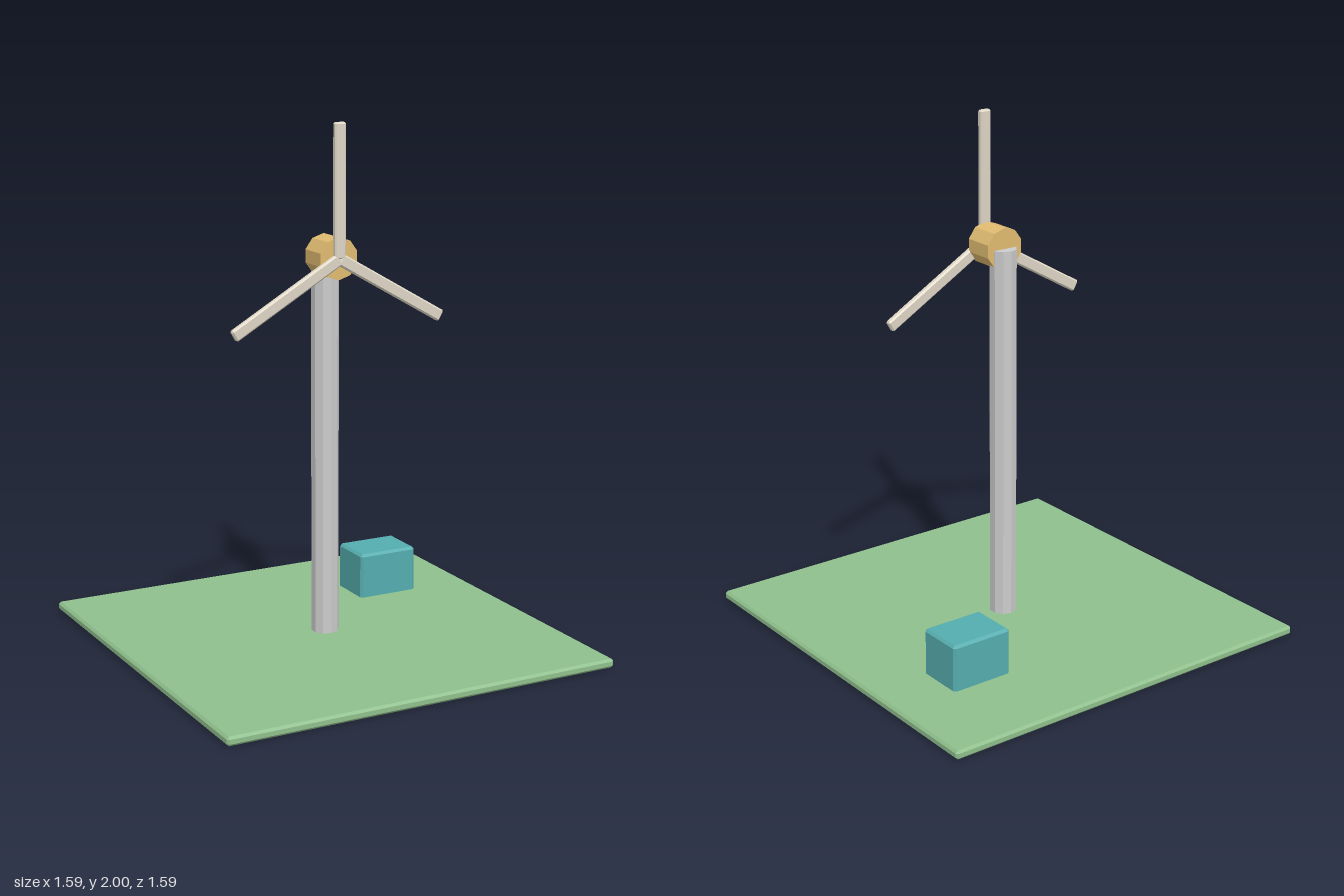
import * as THREE from 'three';
import { ConvexGeometry } from 'three/addons/geometries/ConvexGeometry.js';

const material = (color) => new THREE.MeshStandardMaterial({ color, flatShading: true });

// Box with one flat chamfer along every edge
function chamferBox(w, h, d, c) {
  const points = [];
  for (const x of [-1, 1]) for (const y of [-1, 1]) for (const z of [-1, 1]) {
    const [a, b, e] = [w / 2, h / 2, d / 2];
    points.push(
      new THREE.Vector3(x * a, y * (b - c), z * (e - c)),
      new THREE.Vector3(x * (a - c), y * b, z * (e - c)),
      new THREE.Vector3(x * (a - c), y * (b - c), z * e));
  }
  return new ConvexGeometry(points);
}

export function createModel() {
  const model = new THREE.Group();
  model.name = 'windTurbine';

  const add = (name, geometry, color, x, y, z, parent = model) => {
    const mesh = new THREE.Mesh(geometry, material(color));
    mesh.name = name;
    mesh.position.set(x, y, z);
    parent.add(mesh);
    return mesh;
  };

  // Ground slab
  add('ground', chamferBox(1.59, 0.035, 1.59, 0.009), 0x8fbf8c, 0, 0.0175, 0);

  // Utility hut, sunk slightly into the slab
  add('hut', chamferBox(0.25, 0.195, 0.19, 0.01), 0x55adaf, 0.428, 0.118, -0.35);

  // Ten-sided tower
  add('tower', new THREE.CylinderGeometry(0.053, 0.053, 1.48, 10), 0xcccccc, 0, 0.76, 0);

  // Ten-sided generator housing, lying along z
  const housing = new THREE.CylinderGeometry(0.08, 0.08, 0.12, 10).rotateX(Math.PI / 2);
  add('generatorHousing', housing, 0xe0bb70, 0, 1.5, 0.049);

  // Rotor with three blades radiating from the hub axis
  const rotor = new THREE.Group();
  rotor.name = 'rotor';
  rotor.position.set(0, 1.5, 0.113);
  const bladeGeometry = chamferBox(0.046, 0.5, 0.025, 0.006).translate(0, 0.25, 0);
  for (let i = 0; i < 3; i++) {
    const blade = add(`blade${i + 1}`, bladeGeometry, 0xded6c5, 0, 0, 0, rotor);
    blade.rotation.z = (i * Math.PI * 2) / 3;
  }
  model.add(rotor);

  return model;
}
